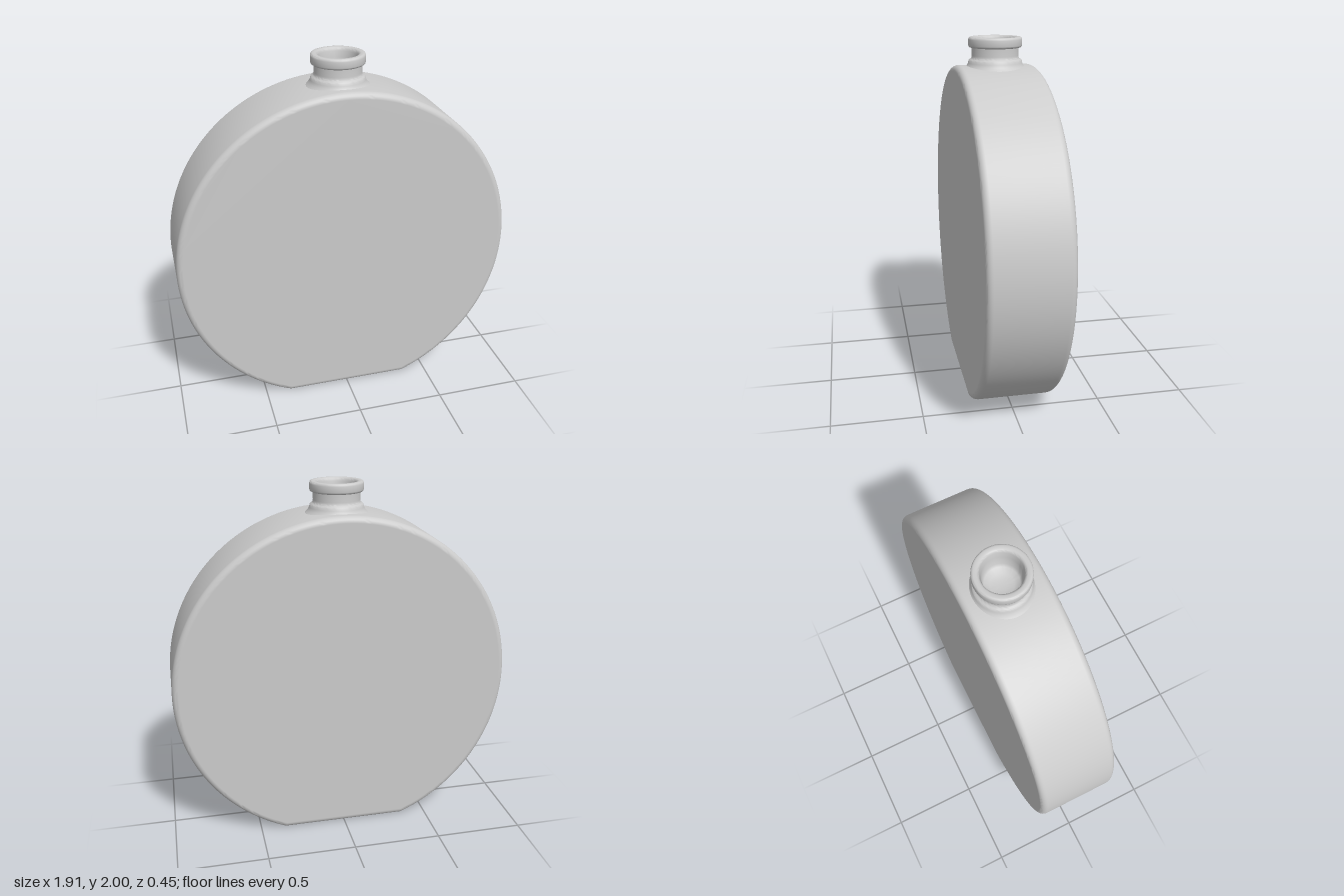
import * as THREE from 'three';
import { toCreasedNormals } from 'three/addons/utils/BufferGeometryUtils.js';

const RADIUS = 0.957, CENTRE_Y = 0.888, HALF_DEPTH = 0.225, BEVEL = 0.035;

const material = new THREE.MeshStandardMaterial({ color: 0xcccccc });

// Round flask cut flat at the base, with softened rims
function createBody() {
  const cut = Math.asin(CENTRE_Y / RADIUS);
  const outline = new THREE.Shape();
  outline.absarc(0, CENTRE_Y, RADIUS, -cut, Math.PI + cut, false);
  outline.closePath();

  const depth = 2 * (HALF_DEPTH - BEVEL);
  const extruded = new THREE.ExtrudeGeometry(outline, {
    depth, curveSegments: 128, bevelThickness: BEVEL,
    bevelSize: BEVEL, bevelOffset: -BEVEL, bevelSegments: 6,
  });
  extruded.translate(0, 0, -depth / 2);
  const geometry = toCreasedNormals(extruded, 0.6);

  // Keep the front and back faces shading flat
  const { position, normal } = geometry.attributes;
  for (let i = 0; i < position.count; i++) {
    const z = position.getZ(i);
    if (Math.abs(z) > HALF_DEPTH - 1e-4) normal.setXYZ(i, 0, 0, Math.sign(z));
  }
  const body = new THREE.Mesh(geometry, material);
  body.name = 'body';
  return body;
}

// Neck with flared foot, collar, rounded lip and hollow bore
function createNeck() {
  const profile = [
    [0.19, 1.815], [0.168, 1.834], [0.157, 1.846], [0.15, 1.86], [0.147, 1.874],
    [0.143, 1.879], [0.134, 1.882], [0.13, 1.89], [0.129, 1.9], [0.129, 1.942],
    [0.14, 1.944], [0.146, 1.948], [0.148, 1.955], [0.148, 1.986],
    [0.146, 1.994], [0.141, 1.999], [0.135, 2.0],
    [0.121, 2.0], [0.114, 1.997], [0.109, 1.99], [0.107, 1.98],
    [0.1, 1.95], [0.098, 1.885], [0.088, 1.868], [0.06, 1.856], [0.03, 1.851], [0, 1.85],
  ].map(([r, y]) => new THREE.Vector2(r, y));
  const geometry = toCreasedNormals(new THREE.LatheGeometry(profile, 64), 0.8);
  const neck = new THREE.Mesh(geometry, material);
  neck.name = 'neck';
  return neck;
}

export function createModel() {
  const bottle = new THREE.Group();
  bottle.name = 'bottle';
  bottle.add(createBody(), createNeck());
  return bottle;
}
